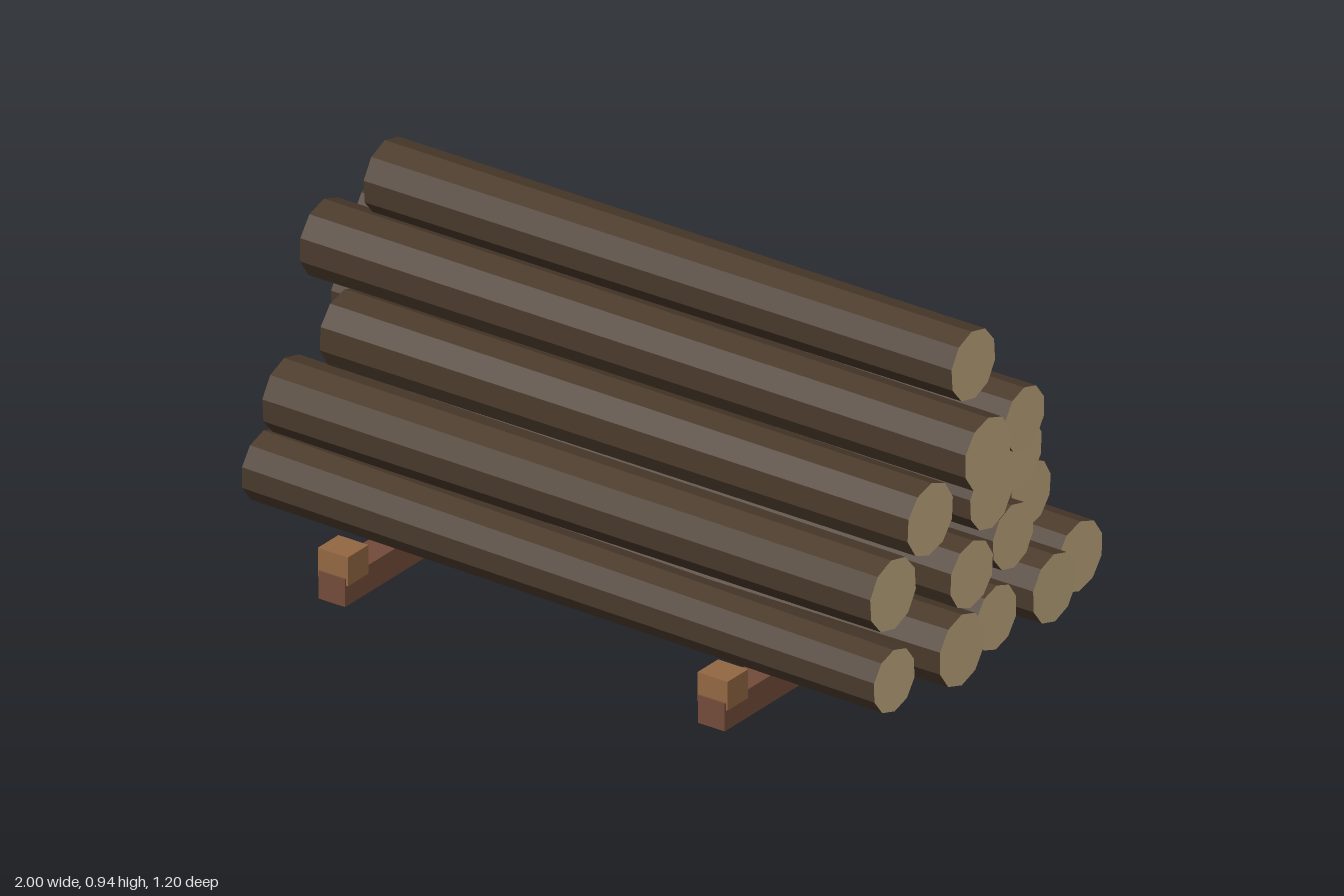
import * as THREE from 'three';

const bark = new THREE.MeshStandardMaterial({ color: 0x4a3a2b, flatShading: true });
bark.name = 'bark';
const cutWood = new THREE.MeshStandardMaterial({ color: 0xc6ae83, flatShading: true });
cutWood.name = 'cutWood';
const railWood = new THREE.MeshStandardMaterial({ color: 0x744c3a, flatShading: true });
railWood.name = 'railWood';
const chockWood = new THREE.MeshStandardMaterial({ color: 0x946843, flatShading: true });
chockWood.name = 'chockWood';

// Each log: [x start, z start, radius start, x end, z end, radius end], row by row
const rows = [
  [
    [-0.97, 0.37, 0.092, 0.95, 0.415, 0.084],
    [-0.97, 0.21, 0.1, 0.985, 0.185, 0.096],
    [-0.95, -0.004, 0.09, 0.95, -0.005, 0.086],
    [-0.99, -0.204, 0.1, 0.97, -0.217, 0.092],
    [-1.0, -0.418, 0.098, 0.92, -0.39, 0.094],
  ],
  [
    [-0.955, 0.3, 0.1, 0.87, 0.31, 0.096],
    [-0.92, 0.09, 0.095, 0.96, 0.11, 0.089],
    [-0.93, -0.096, 0.094, 0.92, -0.115, 0.087],
    [-0.93, -0.299, 0.092, 0.82, -0.325, 0.087],
  ],
  [
    [-0.86, 0.195, 0.1, 0.9, 0.198, 0.096],
    [-0.97, 0.005, 0.092, 0.945, 0.01, 0.088],
    [-0.96, -0.211, 0.1, 0.87, -0.21, 0.095],
  ],
  [
    [-0.99, 0.098, 0.101, 1.0, 0.098, 0.097],
    [-0.97, -0.085, 0.091, 0.96, -0.108, 0.085],
  ],
  [[-0.865, 0.01, 0.098, 0.885, 0.0, 0.093]],
];

// Ten-sided tapered log laid between two end points
function makeLog([x0, z0, r0, x1, z1, r1], y, roll) {
  const start = new THREE.Vector3(x0, y, z0);
  const end = new THREE.Vector3(x1, y, z1);
  const direction = end.clone().sub(start);
  const geometry = new THREE.CylinderGeometry(r1, r0, direction.length(), 10);
  geometry.rotateY(roll);
  const log = new THREE.Mesh(geometry, [bark, cutWood, cutWood]);
  log.quaternion.setFromUnitVectors(new THREE.Vector3(0, 1, 0), direction.normalize());
  log.position.copy(start).add(end).multiplyScalar(0.5);
  return log;
}

function makeBox(name, material, size, position) {
  const box = new THREE.Mesh(new THREE.BoxGeometry(...size), material);
  box.name = name;
  box.position.set(...position);
  return box;
}

export function createModel() {
  const model = new THREE.Group();
  model.name = 'logPile';

  // Stacked logs
  rows.forEach((row, level) => {
    const layer = new THREE.Group();
    layer.name = `logRow${level + 1}`;
    row.forEach((spec, i) => {
      const roll = Math.PI / 10 + 0.08 * Math.sin(level * 2 + i * 3);
      const log = makeLog(spec, 0.173 + level * 0.167, roll);
      log.name = `log${level + 1}_${i + 1}`;
      layer.add(log);
    });
    model.add(layer);
  });

  // Support rails with a chock at each end
  for (const x of [-0.6, 0.537]) {
    const support = new THREE.Group();
    support.name = 'support';
    support.add(makeBox('rail', railWood, [0.08, 0.075, 1.2], [x, 0.0375, 0]));
    for (const side of [-1, 1]) {
      support.add(makeBox('chock', chockWood, [0.09, 0.078, 0.085], [x, 0.095, side * 0.553]));
    }
    model.add(support);
  }
  return model;
}
